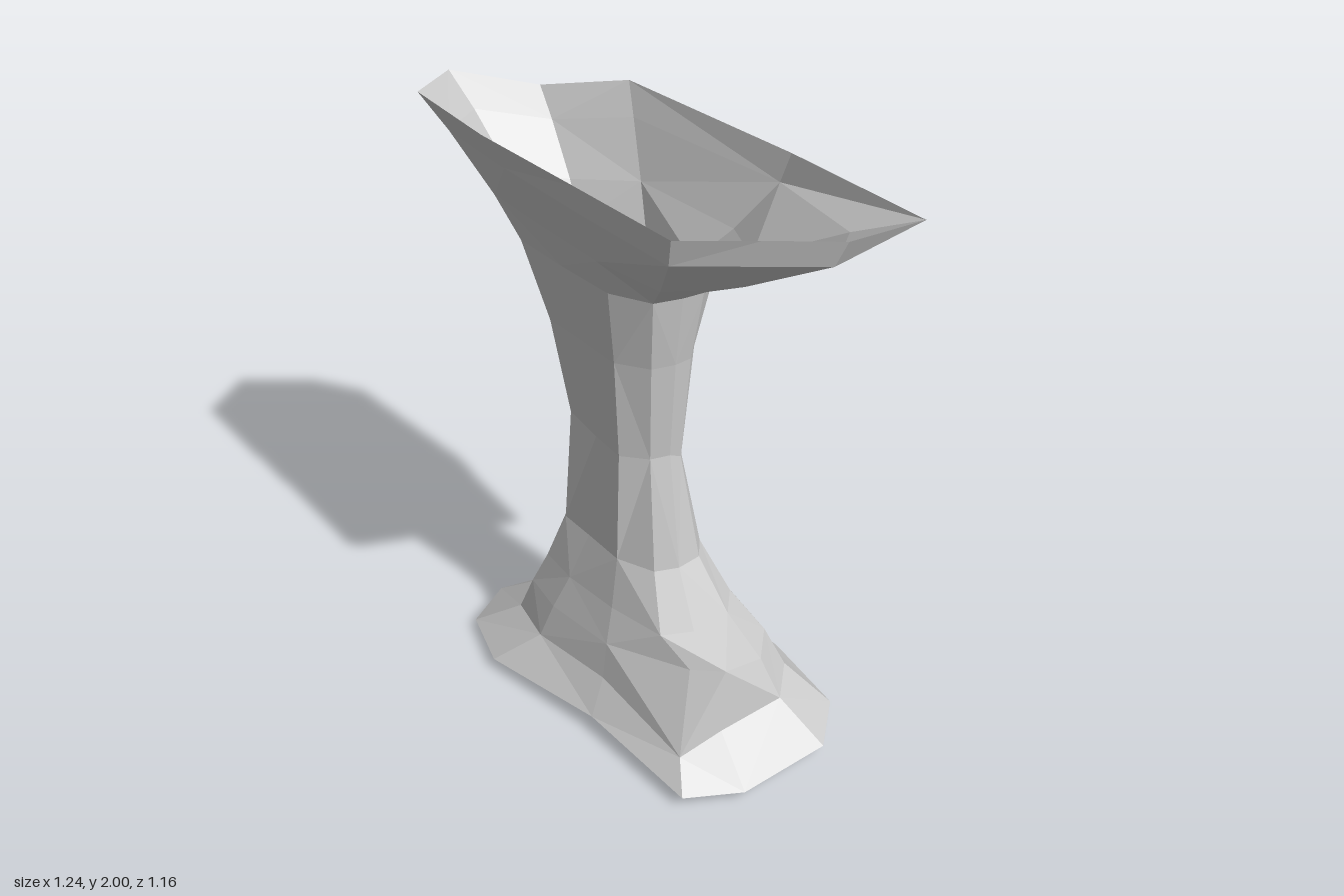
import * as THREE from 'three';

// Three key outlines, each running left, back, right, front (x, y, z)
const topRim = [
  [-0.62, 1.98, -0.34], [-0.54, 1.94, -0.56], [-0.28, 1.87, -0.585], [-0.03, 1.94, -0.445],
  [0.36, 1.94, 0.03], [0.615, 1.98, 0.47], [0.45, 1.88, 0.39], [0.22, 1.94, 0.465],
  [-0.01, 2.0, 0.545], [-0.22, 1.98, 0.23], [-0.45, 1.97, -0.09],
];
const waist = [
  [-0.24, 1.03, -0.11], [-0.22, 1, -0.19], [-0.14, 1, -0.21], [0.01, 1, -0.155],
  [0.065, 0.97, -0.06], [0.08, 0.95, 0], [0.075, 0.97, 0.06], [0.04, 1, 0.09],
  [-0.02, 1, 0.105], [-0.11, 1, 0.08], [-0.17, 1, -0.02],
];
const bottomRim = [
  [-0.59, 0.04, -0.27], [-0.5, 0.04, -0.42], [-0.28, 0, -0.53], [0, 0.05, -0.41],
  [0.42, 0.05, -0.045], [0.555, 0.05, 0.225], [0.5, 0.05, 0.41], [0.23, 0.04, 0.565],
  [0.035, 0.05, 0.58], [-0.22, 0.07, 0.24], [-0.53, 0.045, -0.07],
];

// Rings between waist and rim: height, flare at the back left, flare at the front right
const lowerRings = [[0.17, 0.54, 0.7], [0.3, 0.41, 0.56], [0.43, 0.26, 0.33], [0.61, 0.08, 0.13]];
const upperRings = [[1.34, 0.13, 0.06], [1.58, 0.32, 0.14], [1.7, 0.49, 0.53], [1.86, 0.79, 0.93]];

function flareRing(rim, rimHeight, [y, back, front]) {
  return waist.map(([wx, , wz], j) => {
    const [rx, ry, rz] = rim[j];
    const side = (rx + rz) / Math.hypot(rx, rz) / Math.SQRT2;
    const f = THREE.MathUtils.lerp(back, front, (1 + side) / 2);
    return [wx + (rx - wx) * f, y + (ry - rimHeight) * f, wz + (rz - wz) * f];
  });
}

function nudge(point, dx, dy, dz) {
  point[0] += dx;
  point[1] += dy;
  point[2] += dz;
}

// Skin the rings with flat triangles, bottom to top
function loft(rings) {
  const n = rings[0].length;
  const index = [];
  for (let i = 0; i < rings.length - 1; i++) {
    for (let j = 0; j < n; j++) {
      const a = i * n + j, b = i * n + (j + 1) % n, c = a + n, d = b + n;
      if ((i + j) % 2) index.push(a, c, d, a, d, b);
      else index.push(a, c, b, b, c, d);
    }
  }
  const geometry = new THREE.BufferGeometry();
  geometry.setAttribute('position', new THREE.Float32BufferAttribute(rings.flat(2), 3));
  geometry.setIndex(index);
  const flat = geometry.toNonIndexed();
  flat.computeVertexNormals();
  return flat;
}

export function createModel() {
  const group = new THREE.Group();
  group.name = 'rockColumn';

  const lower = lowerRings.map((r) => flareRing(bottomRim, 0.05, r));
  const upper = upperRings.map((r) => flareRing(topRim, 1.95, r));

  // Knobbly ledge and dent at the front of the foot
  nudge(lower[1][7], 0.04, 0.09, 0.03);
  nudge(lower[1][8], 0.07, 0.06, -0.02);
  nudge(lower[0][8], 0.02, -0.05, 0.05);

  // Undercut below the overhanging tip of the crown
  nudge(upper[2][5], -0.12, 0, -0.08);
  nudge(upper[2][6], -0.06, 0.02, 0.03);
  nudge(upper[3][5], -0.12, 0, -0.08);

  // Hollow shaft, open at both ends
  const material = new THREE.MeshStandardMaterial({
    color: 0xcccccc, flatShading: true, side: THREE.DoubleSide,
  });
  const column = new THREE.Mesh(loft([bottomRim, ...lower, waist, ...upper, topRim]), material);
  column.name = 'flaredHollowShaft';
  group.add(column);
  return group;
}
